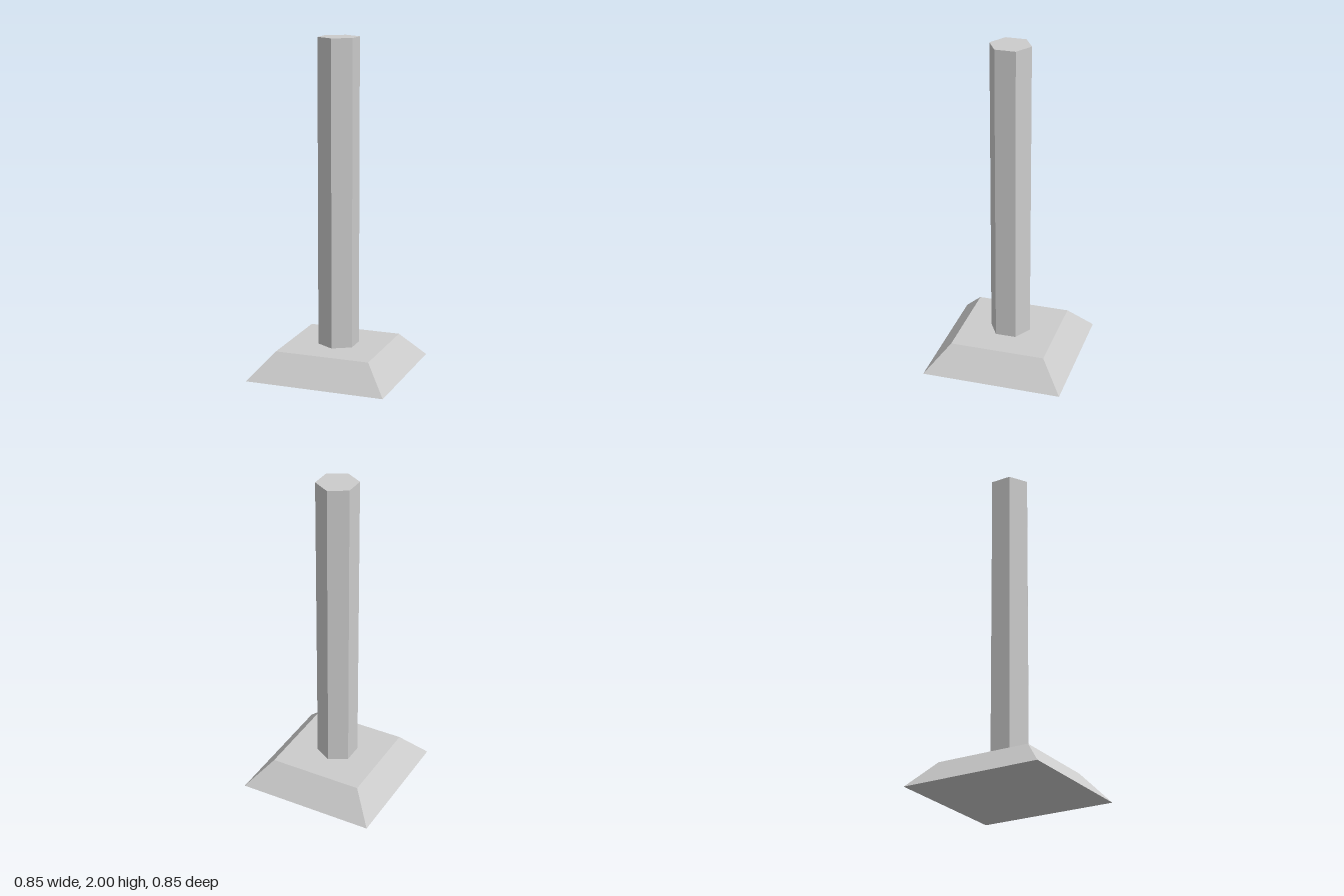
import * as THREE from 'three';

const BASE_HEIGHT = 0.158;
const TOTAL_HEIGHT = 2;

export function createModel() {
  const model = new THREE.Group();
  const material = new THREE.MeshStandardMaterial({ color: 0xcccccc, flatShading: true });

  // Regular prism or frustum standing on y = bottom
  function addPrism(name, topRadius, bottomRadius, bottom, top, sides, turn) {
    const geometry = new THREE.CylinderGeometry(
      topRadius, bottomRadius, top - bottom, sides, 1, false, turn);
    geometry.translate(0, (top + bottom) / 2, 0);
    const mesh = new THREE.Mesh(geometry, material);
    mesh.name = name;
    model.add(mesh);
  }

  // Square base with sloping sides (half widths 0.289 above, 0.425 below)
  addPrism('base', 0.289 * Math.SQRT2, 0.425 * Math.SQRT2, 0, BASE_HEIGHT, 4, Math.PI / 4);

  // Hexagonal post with a corner facing the front
  addPrism('post', 0.124, 0.124, BASE_HEIGHT, TOTAL_HEIGHT, 6, 0);

  return model;
}
